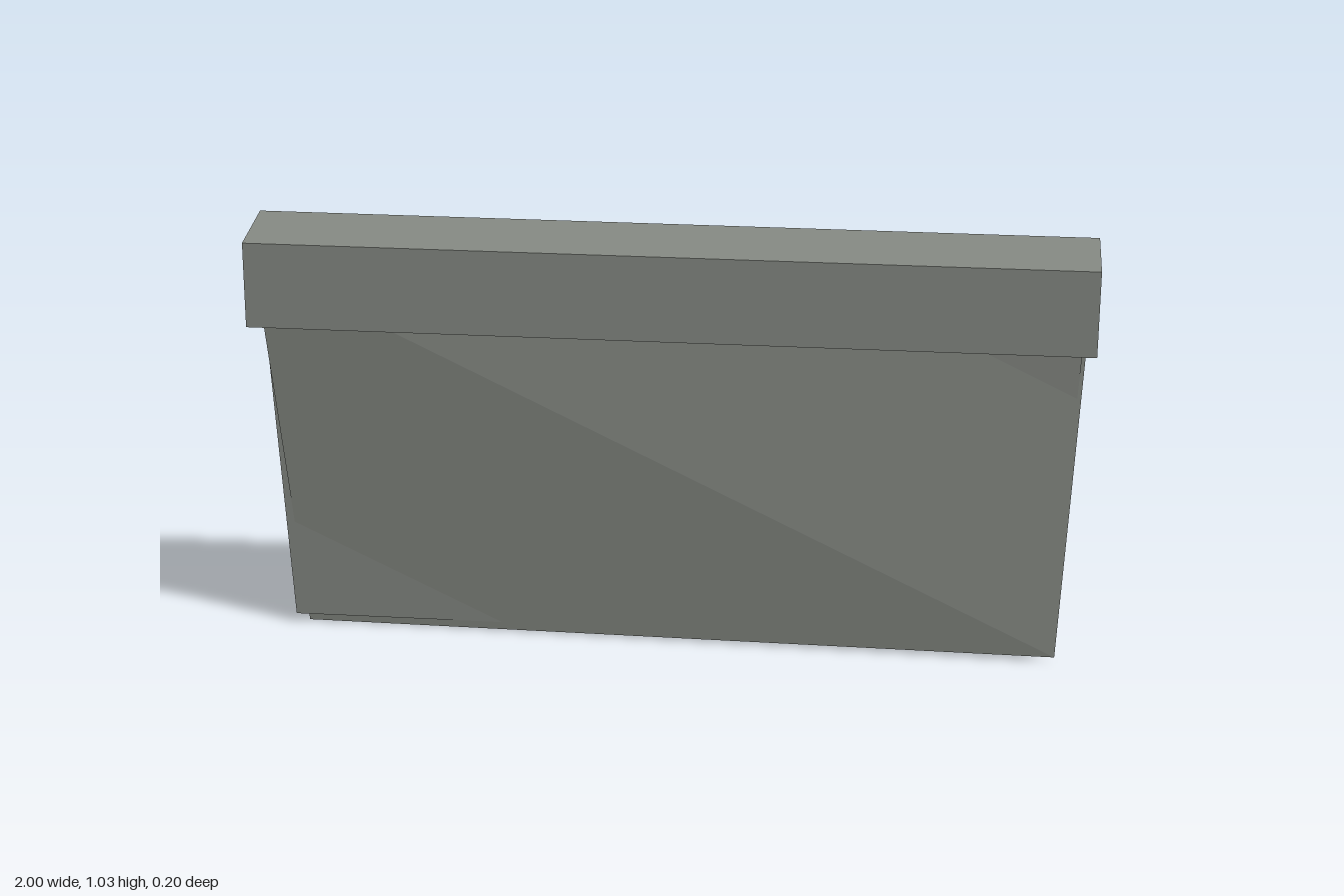
import * as THREE from 'three';

const V = (x, y, z) => new THREE.Vector3(x, y, z);

// Flat-faced geometry from triangles given as corner triples
function facets(tris) {
  const g = new THREE.BufferGeometry().setFromPoints(tris.flat());
  g.computeVertexNormals();
  return g;
}

export function createModel() {
  const group = new THREE.Group();
  const grey = new THREE.MeshStandardMaterial({ color: 0x848882, side: THREE.DoubleSide });
  grey.name = 'greenish grey metal';

  const add = (name, geometry) => {
    const mesh = new THREE.Mesh(geometry, grey);
    mesh.name = name;
    group.add(mesh);
  };

  // Grip: slotted block profile as [z, y], extruded along x
  const profile = [
    [0.1, 0.805], [0.094, 1.013], [-0.098, 1.03], [-0.1, 0.81],
    [0.012, 0.801], [0.012, 0.96], [0.08, 0.96], [0.077, 0.801],
  ];
  const shape = new THREE.Shape(profile.map(([z, y]) => new THREE.Vector2(-z, y)));
  const grip = new THREE.ExtrudeGeometry(shape, { depth: 2, bevelEnabled: false });
  grip.rotateY(Math.PI / 2).translate(-1, 0, 0);
  add('grip', grip);

  // Blade: four corners alternately forward and back; front and back fold on opposite diagonals
  const tl = V(-0.98, 0.953, 0.07), tr = V(0.985, 0.953, 0.02);
  const bl = V(-0.9, 0.003, 0.02), br = V(0.94, 0.016, 0.07);
  add('blade', facets([
    [tl, br, tr], [tl, bl, br],
    [tr, br, bl], [tr, bl, tl],
  ]));

  // Flat core sheet running through the folded blade
  const a = V(-0.975, 0.9, 0.035), b = V(0.975, 0.9, 0.035);
  const c = V(-0.93, 0.025, 0.034), d = V(0.925, 0.028, 0.035);
  add('coreSheet', facets([[a, c, d], [a, d, b]]));

  return group;
}
